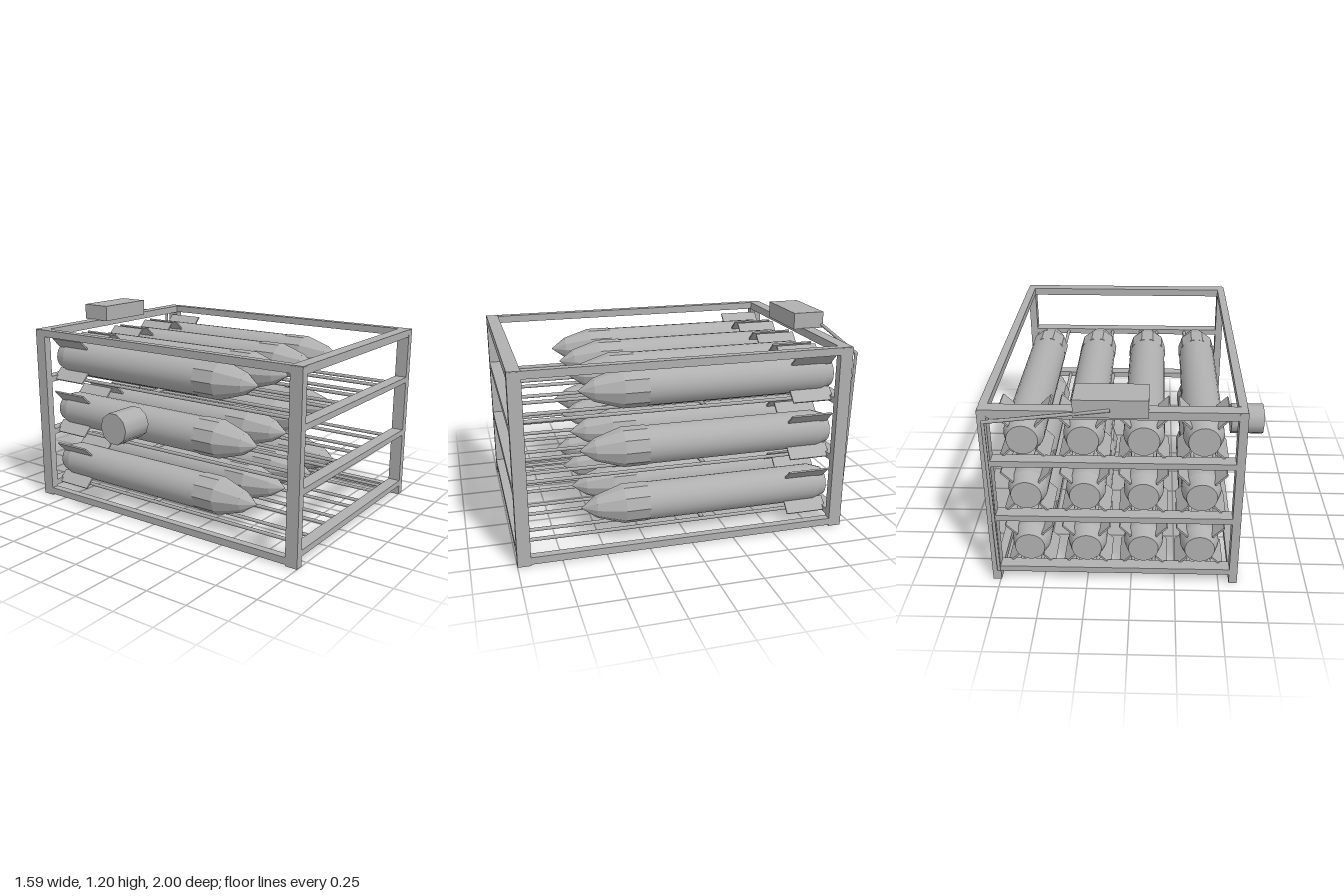
import * as THREE from 'three';

const steel = new THREE.MeshStandardMaterial({ color: 0xb0b0b0 });
steel.name = 'steelGrey';

function add(parent, name, geo, x = 0, y = 0, z = 0) {
  const m = new THREE.Mesh(geo, steel);
  m.name = name;
  m.position.set(x, y, z);
  parent.add(m);
  return m;
}

// box given by its min and max corners
function span(parent, name, x0, x1, y0, y1, z0, z1) {
  return add(parent, name, new THREE.BoxGeometry(x1 - x0, y1 - y0, z1 - z0),
    (x0 + x1) / 2, (y0 + y1) / 2, (z0 + z1) / 2);
}

// round bar between two points
function bar(parent, name, a, b, r, sides = 8) {
  const p = new THREE.Vector3(...a), q = new THREE.Vector3(...b);
  const m = add(parent, name, new THREE.CylinderGeometry(r, r, p.distanceTo(q), sides));
  m.position.copy(p).add(q).multiplyScalar(0.5);
  m.quaternion.setFromUnitVectors(new THREE.Vector3(0, 1, 0), q.sub(p).normalize());
  return m;
}

// faceted or smooth cylinder section along z, from z0 (radius r0) forward to z1 (radius r1)
function section(parent, name, z0, r0, z1, r1, sides, flat, open = true) {
  let g = new THREE.CylinderGeometry(r1, r0, z1 - z0, sides, 1, open);
  if (flat) {
    g.rotateY(Math.PI / 2);
    g = g.toNonIndexed();
    g.computeVertexNormals();
  }
  g.rotateX(Math.PI / 2);
  return add(parent, name, g, 0, 0, (z0 + z1) / 2);
}

function makeBomb() {
  const bomb = new THREE.Group();
  bomb.name = 'bomb';
  section(bomb, 'body', -0.81, 0.111, 0.23, 0.111, 24, false);
  section(bomb, 'tailTaper', -0.89, 0.085, -0.81, 0.111, 24, false, false);
  section(bomb, 'noseCollar', 0.22, 0.115, 0.36, 0.115, 10, true, false);
  section(bomb, 'noseShoulder', 0.36, 0.115, 0.52, 0.064, 10, true);
  section(bomb, 'noseTip', 0.52, 0.064, 0.605, 0.0005, 10, true);
  // four diagonal tail fins
  for (let i = 0; i < 4; i++) {
    const a = Math.PI / 4 + i * Math.PI / 2;
    const fin = add(bomb, 'tailFin', new THREE.BoxGeometry(0.09, 0.01, 0.25),
      Math.cos(a) * 0.145, Math.sin(a) * 0.145, -0.745);
    fin.rotation.z = a;
  }
  return bomb;
}

export function createModel() {
  const model = new THREE.Group();
  model.name = 'bombRack';

  const frame = new THREE.Group();
  frame.name = 'frame';
  model.add(frame);
  const sides = [[-0.607, -0.56], [0.745, 0.793]];
  const ends = [[-0.93, -0.855], [0.925, 1.0]];

  // corner posts and lengthwise rails
  for (const [x0, x1] of sides) {
    for (const [z0, z1] of ends) span(frame, 'cornerPost', x0, x1, 0, 1.1, z0, z1);
    span(frame, 'topSideRail', x0, x1, 1.06, 1.104, -0.855, 0.925);
    span(frame, 'bottomSideRail', x0, x1, 0.008, 0.05, -0.855, 0.925);
  }

  // crosswise rails at both ends
  const shelves = [0.077, 0.428, 0.779];
  for (const [z0, z1] of ends) {
    span(frame, 'topEndRail', -0.605, 0.791, 1.057, 1.104, z0 + 0.001, z1 - 0.001);
    for (const y of shelves) span(frame, 'shelfEndRail', -0.56, 0.745, y - 0.018, y + 0.018, z0, z1);
  }

  // shelves: paired support bars with a bomb on each pair
  const columns = [-0.39, -0.07, 0.252, 0.575];
  for (const y of shelves) {
    for (const x of columns) {
      for (const s of [-1, 1]) {
        bar(model, 'supportBar', [x + s * 0.059, y - 0.002, -0.86], [x + s * 0.059, y - 0.002, 0.93], 0.011);
      }
      bar(model, 'supportRung', [x - 0.059, y, -0.11], [x + 0.059, y, -0.11], 0.013);
      const bomb = makeBomb();
      bomb.position.set(x, y + 0.127, 0);
      model.add(bomb);
    }
  }

  // side drum
  const drum = add(model, 'sideDrum', new THREE.CylinderGeometry(0.095, 0.095, 0.2, 10), -0.7, 0.631, -0.113);
  drum.rotation.set(0, 0, Math.PI / 2);

  // control box and its conduit running down the rear post
  span(model, 'controlBox', -0.097, 0.29, 1.1, 1.2, -0.99, -0.797);
  const corner = [0.755, 1.055, -0.968];
  bar(model, 'upperConduit', [0.1, 1.145, -0.99], corner, 0.01, 6);
  bar(model, 'lowerConduit', corner, [0.755, 0.07, -0.936], 0.01, 6);
  add(model, 'conduitElbow', new THREE.SphereGeometry(0.011, 8, 6), ...corner);

  return model;
}
